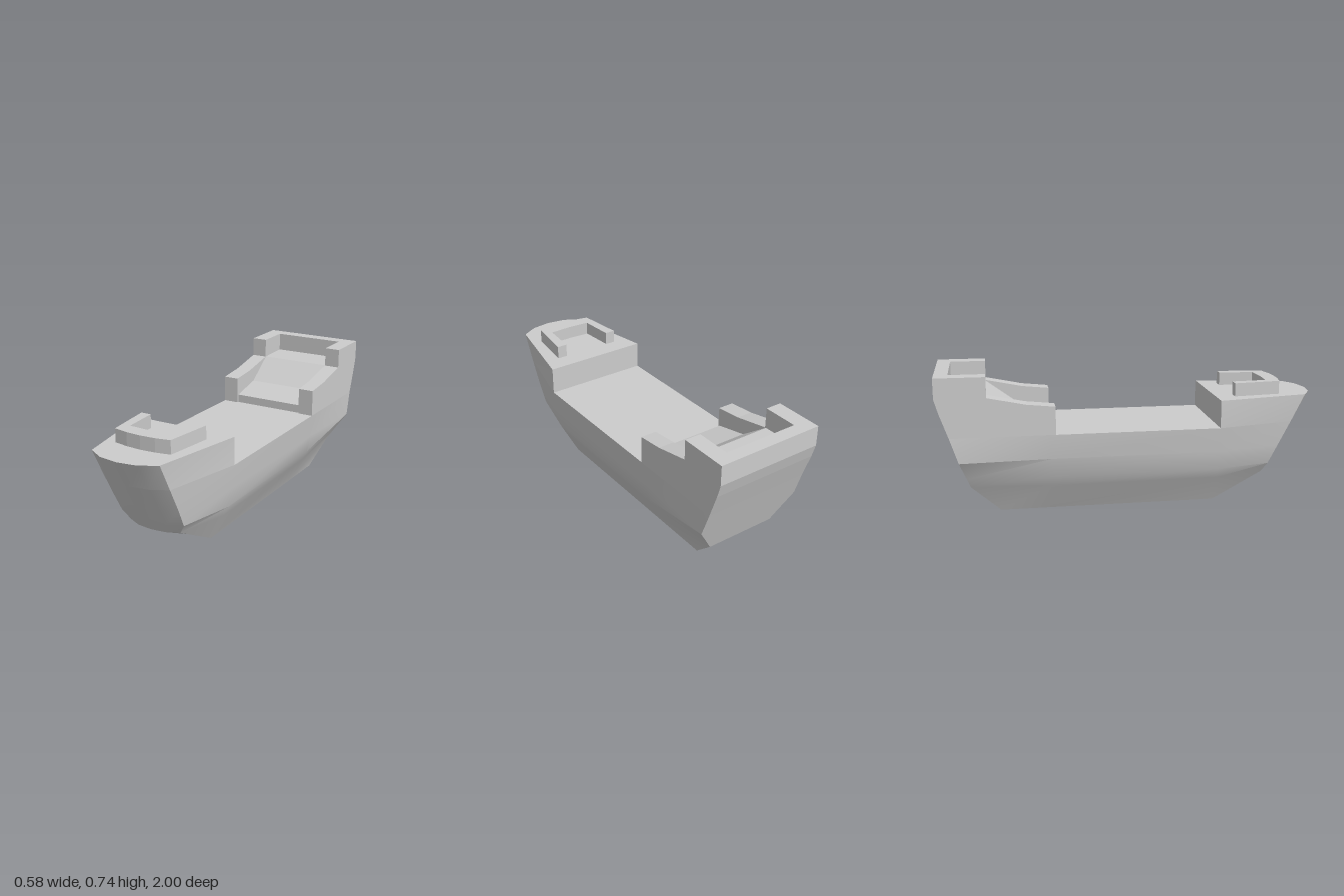
import * as THREE from 'three';
import { toCreasedNormals } from 'three/addons/utils/BufferGeometryUtils.js';

const material = new THREE.MeshStandardMaterial({ color: 0xcccccc });

function addMesh(group, name, geometry) {
  const mesh = new THREE.Mesh(geometry, material);
  mesh.name = name;
  group.add(mesh);
  return mesh;
}

// Lofts closed horizontal outlines [y, [[x, z], ...]]; each lists the left half from bow to stern.
function loft(levels) {
  const pos = [], idx = [];
  let n = 0;
  for (const [y, half] of levels) {
    const ring = [...half, ...half.slice(1).reverse().map(([x, z]) => [-x, z])];
    n = ring.length;
    for (const [x, z] of ring) pos.push(x, y, z);
  }
  for (let l = 0; l < levels.length - 1; l++) {
    for (let i = 0; i < n; i++) {
      const a = l * n + i, b = l * n + (i + 1) % n;
      idx.push(a, b, b + n, a, b + n, a + n);
    }
  }
  const top = (levels.length - 1) * n;
  for (let i = 1; i < n - 1; i++) {
    idx.push(0, i + 1, i, top, top + i, top + i + 1);
  }
  const g = new THREE.BufferGeometry();
  g.setAttribute('position', new THREE.Float32BufferAttribute(pos, 3));
  g.setIndex(idx);
  return toCreasedNormals(g, 0.42);
}

// Extrudes a side profile of [z, y] points from x0 to x1.
function sideExtrude(points, x0, x1) {
  const shape = new THREE.Shape(points.map(([z, y]) => new THREE.Vector2(-z, y)));
  const g = new THREE.ExtrudeGeometry(shape, { depth: x1 - x0, bevelEnabled: false });
  return g.rotateY(Math.PI / 2).translate(x0, 0, 0);
}

// Curved bow edge from the stem to the bow corner
const bow = (stem, x, z) => [[0, stem], [x * 0.55, stem - (stem - z) * 0.24], [x, z]];

export function createModel() {
  const model = new THREE.Group();
  model.name = 'ship';

  // Hull: y, stem z, bow corner x and z, midship half width, stern corner x and z
  const stations = [
    [0, 0.45, 0.145, 0.45, 0.145, 0.145, -0.69],
    [0.145, 0.76, 0.145, 0.72, 0.221, 0.19, -0.84],
    [0.2, 0.79, 0.182, 0.745, 0.25, 0.225, -0.858],
    [0.3, 0.846, 0.188, 0.795, 0.268, 0.29, -0.892],
    [0.43, 0.919, 0.19, 0.862, 0.285, 0.285, -0.935],
  ];
  addMesh(model, 'hull', loft(stations.map(([y, stem, bx, bz, mid, sx, sz]) =>
    [y, [...bow(stem, bx, bz), [mid, 0.45], [mid, -0.43], [sx, sz]]])));

  // Raised foredeck
  addMesh(model, 'foredeck', loft([
    [0.43, [...bow(0.919, 0.19, 0.862), [0.285, 0.45]]],
    [0.575, [...bow(1, 0.19, 0.935), [0.285, 0.45]]],
  ]));

  // U-shaped rail on the foredeck, open toward the stern
  const rail = new THREE.Shape([
    [-0.188, 0.55], [-0.133, 0.55], [-0.118, 0.735], [0, 0.742], [0.118, 0.735],
    [0.133, 0.55], [0.188, 0.55], [0.157, 0.8], [0.08, 0.815], [0, 0.82],
    [-0.08, 0.815], [-0.157, 0.8],
  ].map(([x, z]) => new THREE.Vector2(x, -z)));
  const railGeometry = new THREE.ExtrudeGeometry(rail, { depth: 0.07, bevelEnabled: false });
  addMesh(model, 'bowRail', railGeometry.rotateX(-Math.PI / 2).translate(0, 0.575, 0));

  // Stern castle: side walls, sloping floor between them and a transom
  const stern = [[-1, 0.63], [-0.98, 0.56], [-0.935, 0.43]];
  const wall = [[-0.405, 0.43], [-0.405, 0.575], [-0.55, 0.59], [-0.745, 0.63],
    [-0.745, 0.735], [-1, 0.735], ...stern];
  addMesh(model, 'leftSternWall', sideExtrude(wall, 0.2, 0.285));
  addMesh(model, 'rightSternWall', sideExtrude(wall, -0.285, -0.2));
  addMesh(model, 'sternFloorAndTransom', sideExtrude([
    [-0.415, 0.43], [-0.415, 0.475], [-0.595, 0.515], [-0.75, 0.63],
    [-0.93, 0.635], [-0.93, 0.735], [-1, 0.735], ...stern,
  ], -0.2, 0.2));

  return model;
}
